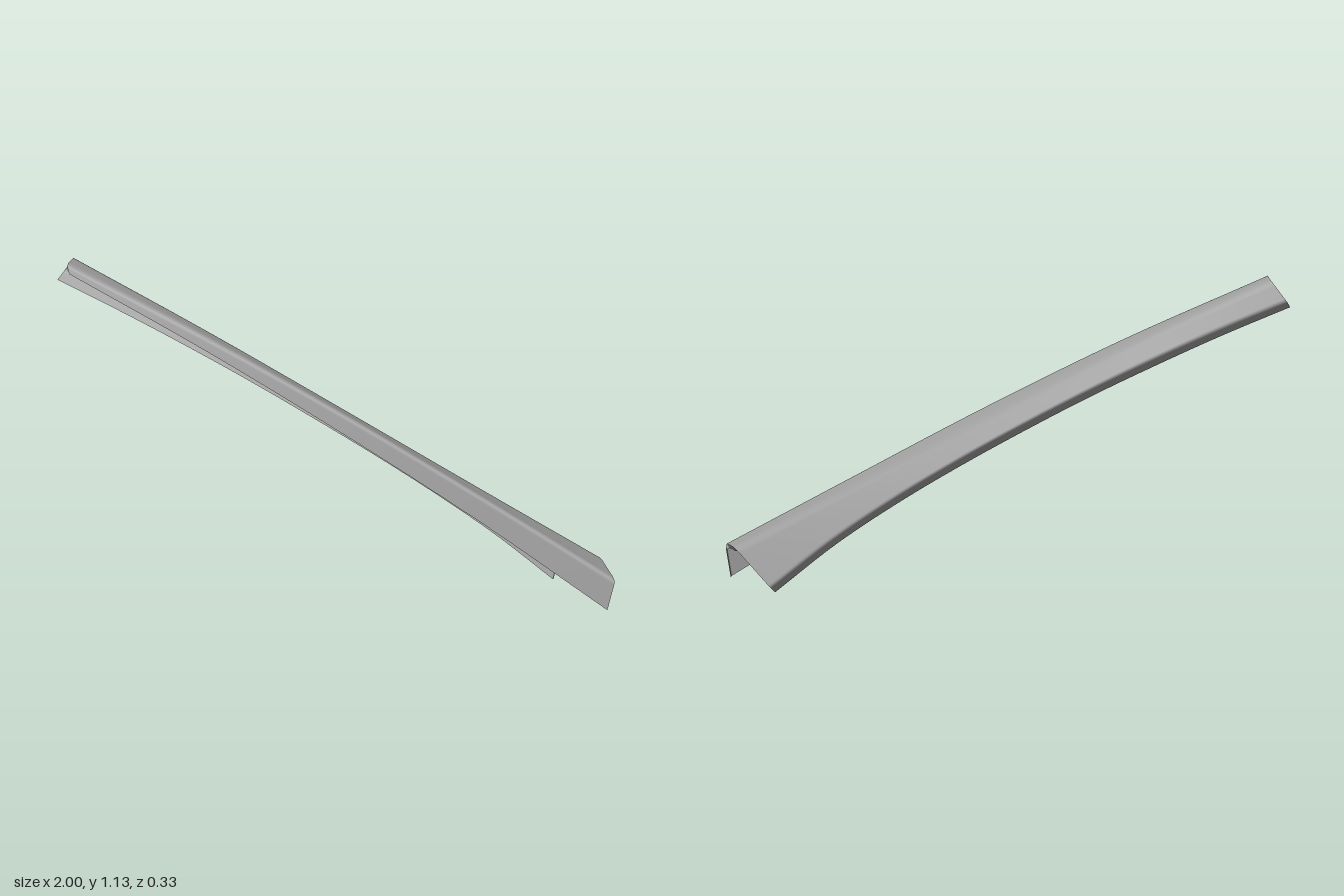
import * as THREE from 'three';

const STEPS = 48, ARC = 6;

// Rail along the length of the cover: x runs evenly, y and z are given at the stations.
function rail(x0, x1, ys, zs) {
  return new THREE.CatmullRomCurve3(ys.map((y, i) =>
    new THREE.Vector3(x0 + (x1 - x0) * i / (ys.length - 1), y, zs[i])));
}

const rails = [
  // front wall edge
  rail(-0.91, 0.99, [1.105, 0.87, 0.605, 0.32, 0.02], [0.165, 0.122, 0.073, 0.025, -0.01]),
  // front top corner
  rail(-0.92, 1.0, [1.135, 0.918, 0.675, 0.413, 0.148], [0.155, 0.108, 0.057, 0.01, -0.028]),
  // back top corner
  rail(-0.93, 0.92, [1.125, 0.9, 0.655, 0.405, 0.158], [0.08, 0.037, -0.015, -0.073, -0.132]),
  // back lower corner
  rail(-0.99, 0.77, [1.05, 0.955, 0.852, 0.741, 0.622, 0.495, 0.358, 0.205, 0.028],
    [0.06, 0.037, 0.011, -0.016, -0.043, -0.071, -0.1, -0.131, -0.168]),
  // flange edge
  rail(-1.0, 0.77, [1.03, 0.933, 0.828, 0.717, 0.597, 0.47, 0.333, 0.18, 0],
    [0.1, 0.076, 0.05, 0.025, -0.001, -0.029, -0.058, -0.09, -0.125]),
];
const rounding = [0, 0.02, 0.032, 0.012, 0];

// Cross-section at t: the five rail points joined, with rounded corners.
function section(t) {
  const p = rails.map(r => r.getPoint(t));
  const out = [p[0]];
  for (let i = 1; i < 4; i++) {
    const cut = q => p[i].clone().lerp(q, Math.min(0.45, rounding[i] / p[i].distanceTo(q)));
    const bend = new THREE.QuadraticBezierCurve3(cut(p[i - 1]), p[i], cut(p[i + 1]));
    out.push(...bend.getPoints(ARC));
  }
  out.push(p[4]);
  return out;
}

// Skin a list of equal-length rows of points.
function loft(rows, name) {
  const n = rows[0].length, index = [];
  for (let r = 0; r < rows.length - 1; r++) {
    for (let c = 0; c < n - 1; c++) {
      const a = r * n + c, b = a + n;
      index.push(a, b, a + 1, b, b + 1, a + 1);
    }
  }
  const geometry = new THREE.BufferGeometry().setFromPoints(rows.flat());
  geometry.setIndex(index);
  geometry.computeVertexNormals();
  const material = new THREE.MeshStandardMaterial({ color: 0x9e9e9e, side: THREE.DoubleSide });
  const mesh = new THREE.Mesh(geometry, material);
  mesh.name = name;
  return mesh;
}

export function createModel() {
  const group = new THREE.Group();
  group.name = 'pillarCover';

  // Curved channel with front wall, top web, sloping back and small flange
  const rows = Array.from({ length: STEPS + 1 }, (_, i) => section(i / STEPS));
  group.add(loft(rows, 'channelShell'));

  // Narrow rim turned inward at the lower end
  const end = rows[STEPS], before = rows[STEPS - 1];
  const inner = end.map((p, i) => {
    const along = end[Math.min(i + 1, end.length - 1)].clone().sub(end[Math.max(i - 1, 0)]);
    const out = p.clone().sub(before[i]);
    const depth = i > end.length - ARC ? 0.004 : i < 2 ? 0.012 : 0.02;
    const q = p.clone().addScaledVector(along.cross(out).normalize(), depth);
    q.y = Math.max(q.y, 0);
    return q;
  });
  group.add(loft([end, inner], 'lowerEndRim'));
  return group;
}
